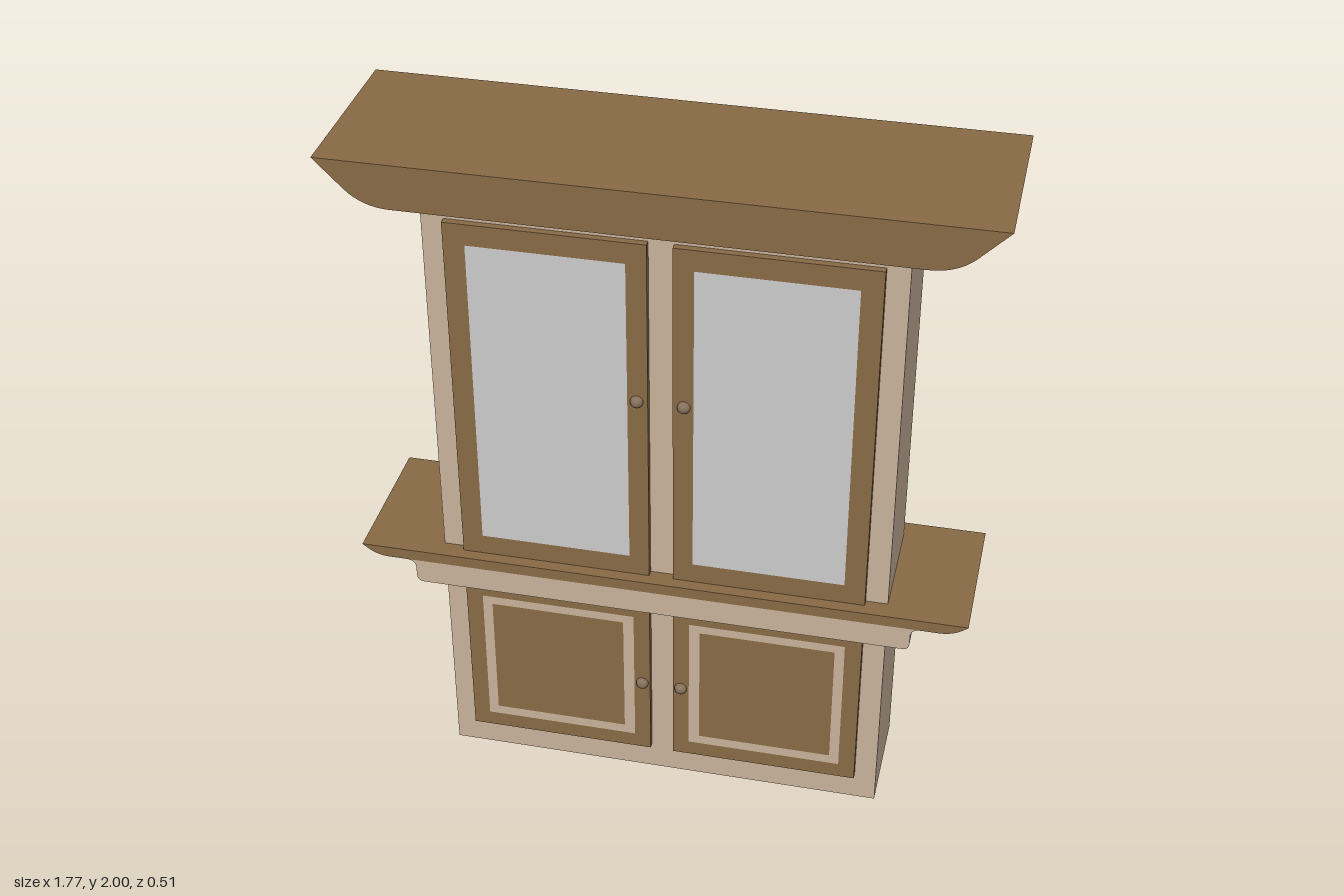
import * as THREE from 'three';
import { toCreasedNormals } from 'three/addons/utils/BufferGeometryUtils.js';

const material = (color) => new THREE.MeshStandardMaterial({ color });

export function createModel() {
  const model = new THREE.Group();
  const beige = material(0xc7b29b);
  const brown = material(0x886a46);
  const glass = material(0xcccccc);
  const knobMat = material(0x85715c);

  const add = (name, geometry, mat, parent = model) => {
    const mesh = new THREE.Mesh(geometry, mat);
    mesh.name = name;
    parent.add(mesh);
    return mesh;
  };

  const rectangle = (Type, [x0, y0, x1, y1]) => new Type([
    new THREE.Vector2(x0, y0), new THREE.Vector2(x1, y0),
    new THREE.Vector2(x1, y1), new THREE.Vector2(x0, y1),
  ]);

  // Rectangular slab, optionally with a rectangular opening
  const FACE = 0.162, THICK = 0.02;
  const slab = (outer, inner) => {
    const shape = rectangle(THREE.Shape, outer);
    if (inner) shape.holes.push(rectangle(THREE.Path, inner));
    return new THREE.ExtrudeGeometry(shape, { depth: THICK, bevelEnabled: false }).translate(0, 0, FACE);
  };

  // Moulding: mirrored half profile (bottom to top) extruded from back to front
  const moulding = (half, depth) => {
    const points = [...half, ...half.map((p) => new THREE.Vector2(-p.x, p.y)).reverse()];
    const geometry = new THREE.ExtrudeGeometry(new THREE.Shape(points), { depth, bevelEnabled: false });
    return toCreasedNormals(geometry.translate(0, 0, -depth / 2), 0.6);
  };
  const curve = (x0, y0, cx, cy, x1, y1, n = 8) => new THREE.QuadraticBezierCurve(
    new THREE.Vector2(x0, y0), new THREE.Vector2(cx, cy), new THREE.Vector2(x1, y1)).getPoints(n);

  // Carcass
  add('cabinetBody', new THREE.BoxGeometry(1.276, 1.88, 0.324).translate(0, 0.94, 0), beige);

  // Crown with rounded underside and slanted ends
  add('crown', moulding([
    ...curve(0.685, 1.873, 0.758, 1.873, 0.805, 1.92),
    new THREE.Vector2(0.884, 2),
  ], 0.512), brown);

  // Waist moulding with rounded foot and cove, under a counter top
  add('waistMoulding', moulding([
    ...curve(0.69, 0.635, 0.71, 0.635, 0.71, 0.656, 5),
    ...curve(0.71, 0.685, 0.712, 0.709, 0.738, 0.709, 6),
  ], 0.434), beige);
  add('counterTop', moulding([
    ...curve(0.79, 0.709, 0.832, 0.709, 0.867, 0.742, 6),
  ], 0.434), brown);

  // Doors and knobs, mirrored left and right
  for (const side of [1, -1]) {
    const label = side > 0 ? 'left' : 'right';
    const span = (x0, y0, x1, y1) => (side > 0 ? [x0, y0, x1, y1] : [-x1, y0, -x0, y1]);

    const upper = new THREE.Group();
    upper.name = `${label}UpperDoor`;
    const pane = span(0.09, 0.803, 0.517, 1.748);
    add('doorFrame', slab(span(0.034, 0.742, 0.576, 1.81), pane), brown, upper);
    add('glassPane', slab(pane), glass, upper);

    const lower = new THREE.Group();
    lower.name = `${label}LowerDoor`;
    const inlay = span(0.081, 0.135, 0.528, 0.583);
    const panel = span(0.112, 0.164, 0.5, 0.557);
    add('doorFrame', slab(span(0.034, 0.088, 0.576, 0.636), inlay), brown, lower);
    add('inlayBand', slab(inlay, panel), beige, lower);
    add('centrePanel', slab(panel), brown, lower);

    for (const [door, x, y] of [[upper, 0.064, 1.328], [lower, 0.057, 0.34]]) {
      add('knob', new THREE.SphereGeometry(0.018, 20, 14), knobMat, door).position.set(side * x, y, 0.182);
      model.add(door);
    }
  }
  return model;
}
